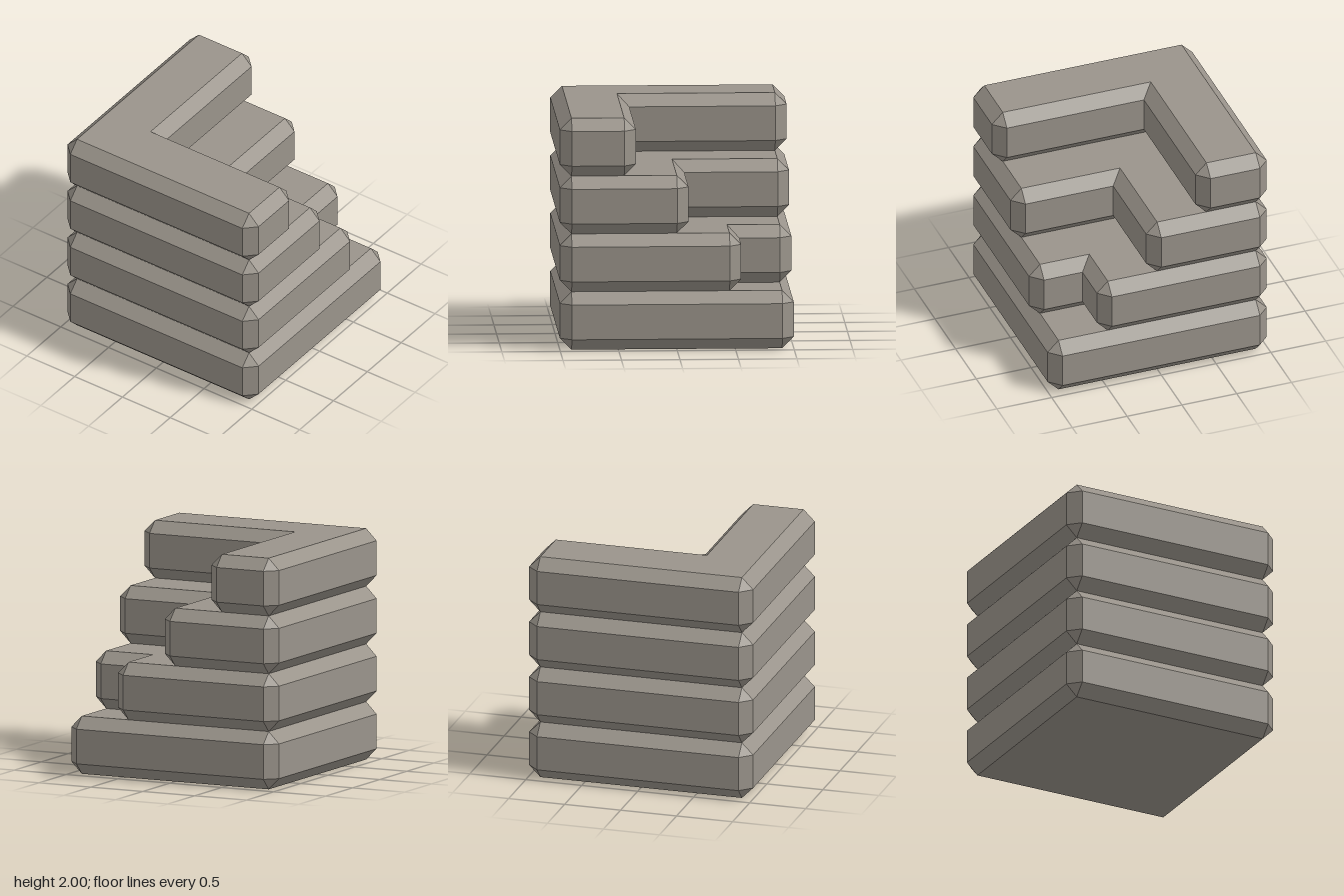
import * as THREE from 'three';

const BEVEL = 0.1, HEIGHT = 0.5, R = 0.9;

// Slab with every convex edge chamfered, from the inset plan outline [x, z].
// The outline starts at its inner corner, so caps can be fanned from there.
function chamferedSlab(outline) {
  const n = outline.length, pos = [];
  const tri = (...pts) => pts.forEach((p) => pos.push(...p));
  const quad = (a, b, c, d) => { tri(a, b, c); tri(a, c, d); };
  const at = ([x, z], y) => [x, y, z];
  const normal = (a, b) => {
    const dx = b[0] - a[0], dz = b[1] - a[1], l = Math.hypot(dx, dz);
    return [dz / l, -dx / l];
  };

  // Wall ring: two points round each convex corner, one mitre in a reflex corner
  const ring = [];
  outline.forEach((p, i) => {
    const m = normal(outline[(i + n - 1) % n], p), k = normal(p, outline[(i + 1) % n]);
    const convex = m[0] * k[1] - m[1] * k[0] > 0;
    const offsets = convex ? [m, k] : [[m[0] + k[0], m[1] + k[1]]];
    offsets.forEach((o) => ring.push({ p, i, w: [p[0] + o[0] * BEVEL, p[1] + o[1] * BEVEL] }));
  });

  // Walls, with sloped strips (or corner triangles) above and below
  const lo = BEVEL, hi = HEIGHT - BEVEL;
  ring.forEach((a, j) => {
    const b = ring[(j + 1) % ring.length];
    quad(at(b.w, lo), at(a.w, lo), at(a.w, hi), at(b.w, hi));
    tri(at(b.w, hi), at(a.w, hi), at(a.p, HEIGHT));
    tri(at(b.w, lo), at(a.p, 0), at(a.w, lo));
    if (a.i !== b.i) {
      tri(at(b.w, hi), at(a.p, HEIGHT), at(b.p, HEIGHT));
      tri(at(b.w, lo), at(b.p, 0), at(a.p, 0));
    }
  });

  // Flat caps
  for (let i = 1; i < n - 1; i++) {
    const [a, b, c] = [outline[0], outline[i], outline[i + 1]];
    tri(at(a, HEIGHT), at(c, HEIGHT), at(b, HEIGHT));
    tri(at(a, 0), at(b, 0), at(c, 0));
  }

  const geometry = new THREE.BufferGeometry();
  geometry.setAttribute('position', new THREE.Float32BufferAttribute(pos, 3));
  geometry.computeVertexNormals();
  return geometry;
}

export function createModel() {
  const group = new THREE.Group();
  group.name = 'cornerStairs';
  const stone = new THREE.MeshStandardMaterial({ color: 0x9a948b });
  stone.name = 'warm grey stone';

  const addStep = (name, level, outline) => {
    const mesh = new THREE.Mesh(chamferedSlab(outline), stone);
    mesh.name = name;
    mesh.position.y = level * HEIGHT;
    group.add(mesh);
  };

  // Square base
  addStep('baseSlab', 0, [[R, R], [-R, R], [-R, -R], [R, -R]]);

  // L-shaped steps, each cut back further from the front left corner
  [0.45, 0, -0.45].forEach((c, i) => {
    addStep(`step${i + 1}`, i + 1, [[c, c], [c, R], [-R, R], [-R, -R], [R, -R], [R, c]]);
  });
  return group;
}
